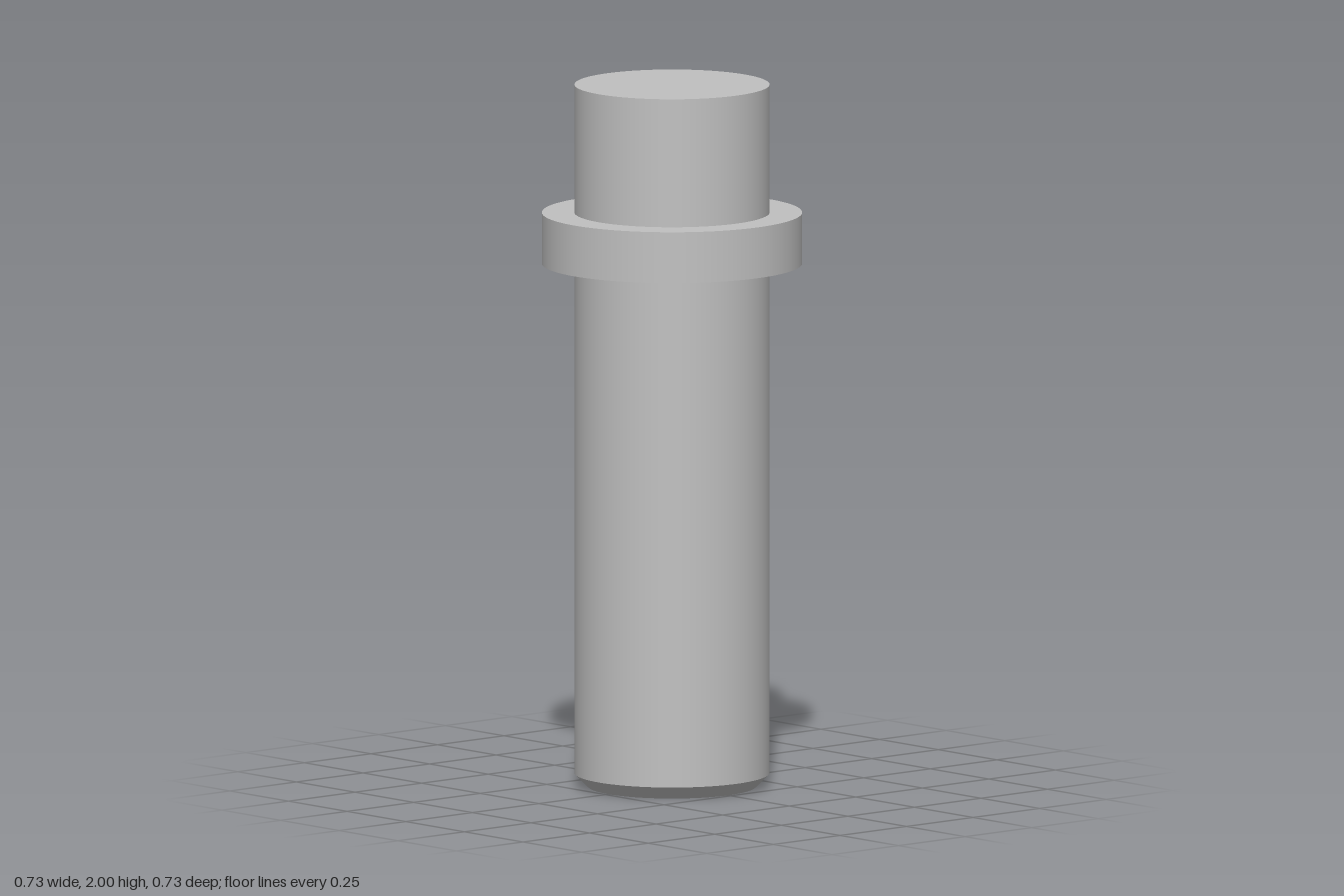
import * as THREE from 'three';

const SEGMENTS = 96;
const SHAFT_R = 0.275, COLLAR_R = 0.367, TIP_R = 0.238;
const CHAMFER_Y = 0.037, COLLAR_BOTTOM = 1.49, COLLAR_TOP = 1.635, TOP = 2;

export function createModel() {
  const steel = new THREE.MeshStandardMaterial({ color: 0xc0c0c0 });
  steel.name = 'grey steel';

  // One revolved face from (r0, y0) to (r1, y1); separate faces keep the rims sharp.
  const face = (parent, name, r0, y0, r1, y1) => {
    const points = [new THREE.Vector2(r0, y0), new THREE.Vector2(r1, y1)];
    const mesh = new THREE.Mesh(new THREE.LatheGeometry(points, SEGMENTS), steel);
    mesh.name = name;
    parent.add(mesh);
  };

  const part = (name) => {
    const group = new THREE.Group();
    group.name = name;
    return group;
  };

  // Long lower shaft with a chamfered tip
  const shaft = part('lowerShaft');
  face(shaft, 'tipFace', 0, 0, TIP_R, 0);
  face(shaft, 'tipChamfer', TIP_R, 0, SHAFT_R, CHAMFER_Y);
  face(shaft, 'shaftWall', SHAFT_R, CHAMFER_Y, SHAFT_R, COLLAR_BOTTOM);

  // Collar
  const collar = part('collar');
  face(collar, 'collarUnderside', SHAFT_R, COLLAR_BOTTOM, COLLAR_R, COLLAR_BOTTOM);
  face(collar, 'collarRim', COLLAR_R, COLLAR_BOTTOM, COLLAR_R, COLLAR_TOP);
  face(collar, 'collarShoulder', COLLAR_R, COLLAR_TOP, SHAFT_R, COLLAR_TOP);

  // Short head above the collar
  const head = part('head');
  face(head, 'headWall', SHAFT_R, COLLAR_TOP, SHAFT_R, TOP);
  face(head, 'headTop', SHAFT_R, TOP, 0, TOP);

  const model = part('collaredPin');
  model.add(shaft, collar, head);
  return model;
}
